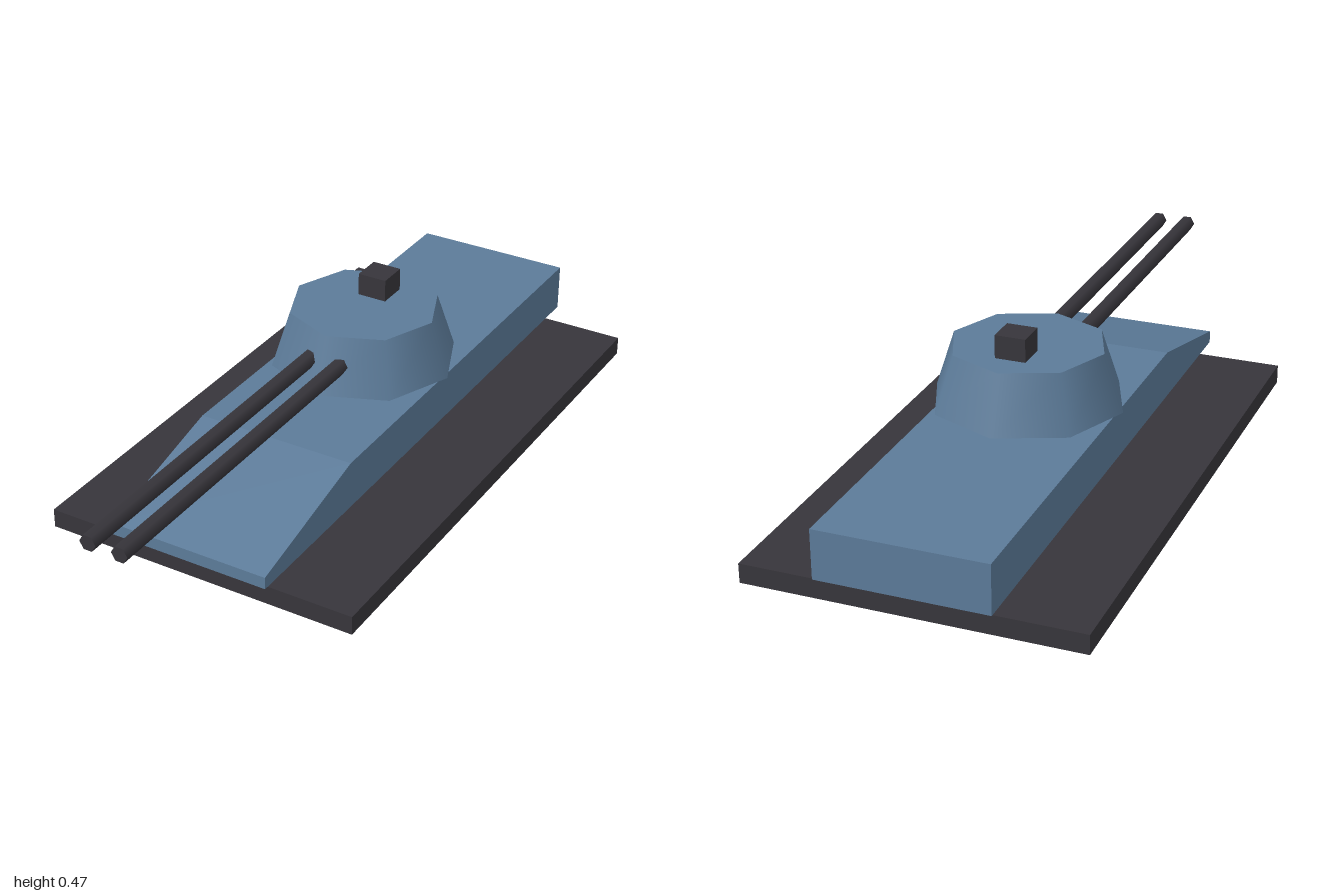
import * as THREE from 'three';

export function createModel() {
  const model = new THREE.Group();
  model.name = 'hoverTank';

  const material = (name, color) => {
    const m = new THREE.MeshStandardMaterial({ color });
    m.name = name;
    return m;
  };
  const blue = material('steelBlue', 0x5c7b99);
  const dark = material('charcoal', 0x37353b);
  const cyan = material('hoverCyan', 0x72b4c6);

  const add = (name, geometry, mat, x, y, z) => {
    const mesh = new THREE.Mesh(geometry, mat);
    mesh.name = name;
    mesh.position.set(x, y, z);
    model.add(mesh);
    return mesh;
  };

  // Hover base with a glowing plate underneath
  add('hoverPlate', new THREE.BoxGeometry(0.72, 0.012, 1.428), cyan, 0, 0.006, -0.164);
  add('hoverBase', new THREE.BoxGeometry(0.896, 0.053, 1.587), dark, 0, 0.0385, -0.164);

  // Hull: side profile (z, y) extruded across the width, with a sloped nose
  const width = 0.454;
  const profile = new THREE.Shape([
    [-1, 0.09], [0.67, 0.09], [0.67, 0.124], [0.257, 0.224], [-1, 0.224],
  ].map(([z, y]) => new THREE.Vector2(z, y)));
  const hull = new THREE.ExtrudeGeometry(profile, { depth: width, bevelEnabled: false });
  hull.translate(0, 0, -width / 2).rotateY(-Math.PI / 2);
  add('hull', hull, blue, 0, 0, 0);

  // Tapered eight-sided turret with smooth sides
  add('turret', new THREE.CylinderGeometry(0.208, 0.26, 0.156, 8), blue, 0, 0.329, -0.206);

  // Roof hatch
  add('hatch', new THREE.BoxGeometry(0.083, 0.063, 0.083), dark, 0, 0.4385, -0.288);

  // Twin hexagonal gun barrels
  for (const side of [-1, 1]) {
    const barrel = new THREE.CylinderGeometry(0.023, 0.023, 1, 6);
    barrel.rotateY(Math.PI / 6).rotateX(Math.PI / 2);
    add(side > 0 ? 'leftBarrel' : 'rightBarrel', barrel, dark, side * 0.045, 0.329, 0.5);
  }

  return model;
}
